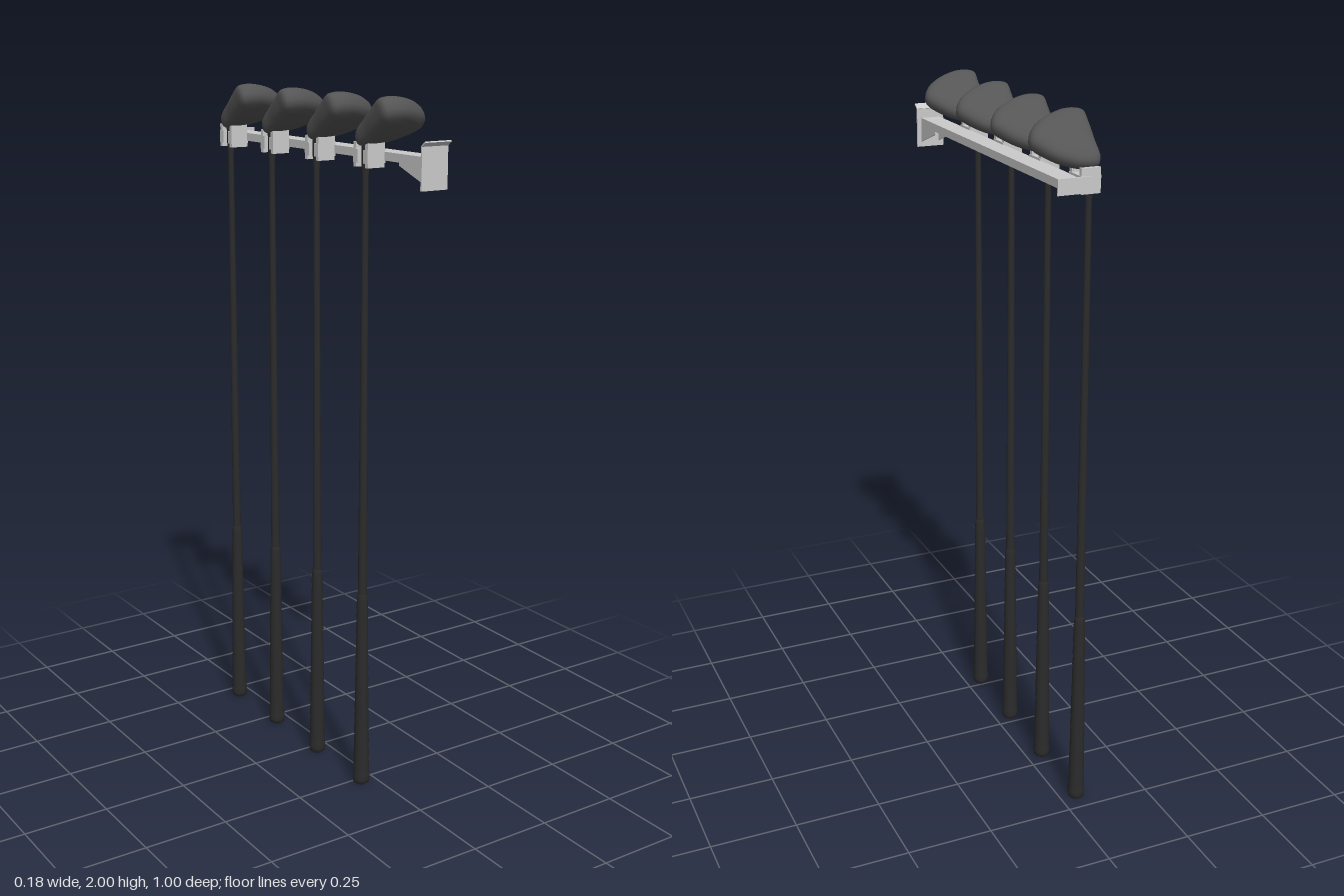
import * as THREE from 'three';

const grey = new THREE.MeshStandardMaterial({ color: 0xcccccc });
const headMat = new THREE.MeshStandardMaterial({ color: 0x555555 });
const darkMat = new THREE.MeshStandardMaterial({ color: 0x2b2b2b });
const RAIL_X = 0.018;
const SHAFT_X = -0.048;

function add(parent, name, geometry, material, x = 0, y = 0, z = 0) {
  const mesh = new THREE.Mesh(geometry, material);
  mesh.name = name;
  mesh.position.set(x, y, z);
  parent.add(mesh);
  return mesh;
}

function box(parent, name, w, h, d, x, y, z) {
  return add(parent, name, new THREE.BoxGeometry(w, h, d), grey, x, y, z);
}

function extrude(points, depth) {
  const shape = new THREE.Shape(points.map(([x, y]) => new THREE.Vector2(x, y)));
  return new THREE.ExtrudeGeometry(shape, { depth, bevelEnabled: false });
}

// Club head: one D-shaped outline lofted through layers that close into two domes
function headGeometry() {
  const plan = [[-0.069, -0.086], [-0.024, -0.088], [0.029, -0.067], [0.069, -0.033],
    [0.088, -0.006], [0.079, 0.026], [0.043, 0.058], [-0.024, 0.085], [-0.066, 0.087],
    [-0.088, 0.077], [-0.088, 0.039], [-0.08, -0.027]];
  const curve = new THREE.CatmullRomCurve3(
    plan.map(([x, z]) => new THREE.Vector3(x, 0, z * 1.09)), true, 'centripetal');
  const layers = [[-0.037, 0.001], [-0.036, 0.3], [-0.033, 0.58], [-0.028, 0.78], [-0.02, 0.92],
    [-0.01, 0.985], [0.002, 1], [0.013, 0.985], [0.022, 0.93], [0.029, 0.82], [0.033, 0.62],
    [0.035, 0.32], [0.036, 0.001]];
  const n = 48;
  const positions = [];
  const index = [];
  layers.forEach(([h, s], j) => {
    for (let i = 0; i < n; i++) {
      const p = curve.getPoint(i / n);
      const z = p.z * s;
      // thicker at the toe than at the heel
      positions.push(-0.045 + (p.x + 0.045) * s, h * (1 + 2 * z), z);
      if (j === layers.length - 1) continue;
      const a = j * n + i, b = j * n + (i + 1) % n;
      index.push(a, a + n, b + n, a, b + n, b);
    }
  });
  const g = new THREE.BufferGeometry();
  g.setAttribute('position', new THREE.Float32BufferAttribute(positions, 3));
  g.setIndex(index);
  g.computeVertexNormals();
  return g;
}

// Grip: tapered profile with shallow rings and a butt cap
function gripGeometry() {
  const profile = [[0, 0.002], [0.016, 0.002], [0.023, 0.008], [0.0245, 0.018], [0.0245, 0.035], [0.0225, 0.04]];
  for (let i = 1; i <= 28; i++) {
    const y = 0.04 + i * 0.0195;
    profile.push([0.0235 - 0.008 * (y / 0.6) + (i % 2 ? 0.0007 : -0.0007), y]);
  }
  profile.push([0.0145, 0.6], [0.011, 0.602]);
  return new THREE.LatheGeometry(profile.map(([x, y]) => new THREE.Vector2(x, y)), 24);
}

// Open-sided cradle seen from above, slot towards -x
function cradleGeometry() {
  const shape = new THREE.Shape();
  shape.moveTo(-0.065, -0.034);
  shape.lineTo(-0.008, -0.034);
  shape.lineTo(-0.008, 0.034);
  shape.lineTo(-0.065, 0.034);
  shape.lineTo(-0.065, 0.013);
  shape.lineTo(SHAFT_X, 0.013);
  shape.absarc(SHAFT_X, 0, 0.013, Math.PI / 2, -Math.PI / 2, true);
  shape.lineTo(-0.065, -0.013);
  shape.closePath();
  const g = new THREE.ExtrudeGeometry(shape, { depth: 0.036, bevelEnabled: false, curveSegments: 12 });
  return g.rotateX(-Math.PI / 2);
}

function makeRail() {
  const rail = new THREE.Group();
  rail.name = 'rail';
  // Channel, open underneath
  const w = 0.029, t = 0.004;
  const channel = [[-w, 1.83], [-w + t, 1.83], [-w + t, 1.849], [w - t, 1.849],
    [w - t, 1.83], [w, 1.83], [w, 1.853], [-w, 1.853]];
  add(rail, 'railChannel', extrude(channel, 0.98), grey, RAIL_X, 0, -0.498);
  // End plates
  box(rail, 'backPlate', 0.096, 0.042, 0.005, RAIL_X, 1.841, -0.4975);
  box(rail, 'frontPlate', 0.084, 0.113, 0.005, RAIL_X, 1.8235, 0.4835);
  const lip = box(rail, 'frontPlateLip', 0.084, 0.004, 0.022, RAIL_X, 1.886, 0.4905);
  lip.rotation.x = -0.65;
  // Triangular gussets behind the front plate
  for (const side of [-1, 1]) {
    const g = extrude([[-0.482, 1.782], [-0.482, 1.832], [-0.37, 1.832], [-0.37, 1.822]], 0.004);
    g.rotateY(Math.PI / 2);
    add(rail, 'gusset', g, grey, RAIL_X + side * 0.027 - 0.002, 0, 0);
  }
  return rail;
}

export function createModel() {
  const model = new THREE.Group();
  model.name = 'clubRack';
  model.add(makeRail());

  const head = headGeometry();
  const grip = gripGeometry();
  const cradle = cradleGeometry();
  const shaft = new THREE.CylinderGeometry(0.0085, 0.013, 1.23, 20);
  const hosel = new THREE.CylinderGeometry(0.012, 0.01, 0.1, 20);

  for (let i = 0; i < 4; i++) {
    const z = 0.27 - i * 0.238;

    // Holder: cradle with two upright prongs
    const holder = new THREE.Group();
    holder.name = 'holder';
    holder.position.z = z;
    add(holder, 'cradle', cradle, grey, 0, 1.823, 0);
    for (const side of [-1, 1]) {
      box(holder, 'prong', 0.054, 0.066, 0.013, -0.037, 1.845, side * 0.0275);
    }
    model.add(holder);

    // Club hanging head up
    const club = new THREE.Group();
    club.name = 'club';
    club.position.set(SHAFT_X, 0, z);
    add(club, 'grip', grip, darkMat);
    add(club, 'shaft', shaft, darkMat, 0, 1.2, 0);
    add(club, 'hosel', hosel, darkMat, 0, 1.845, 0);
    const clubHead = add(club, 'clubHead', head, headMat, -SHAFT_X, 1.931, 0.064);
    clubHead.rotation.x = -0.58;
    model.add(club);
  }
  return model;
}
